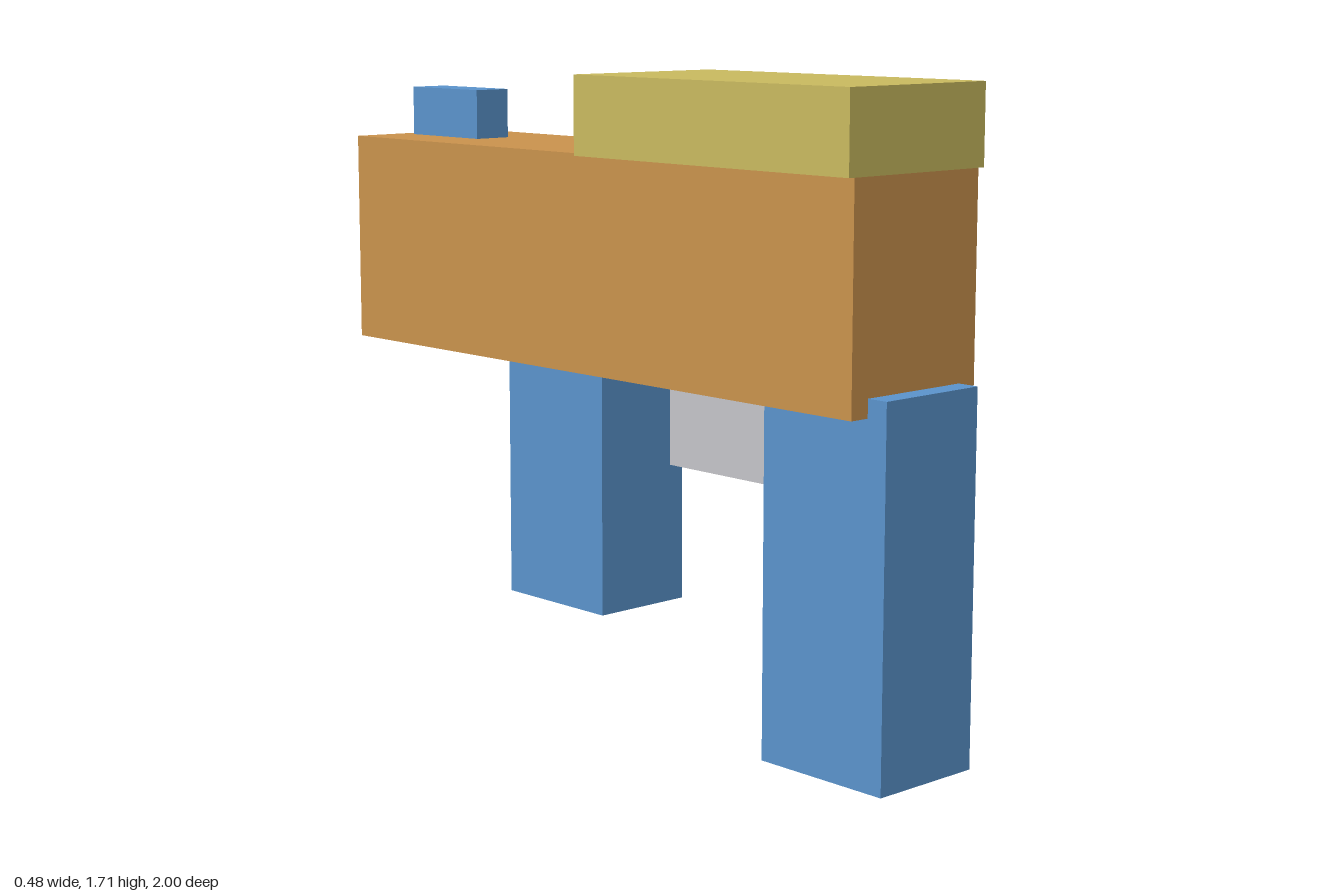
import * as THREE from 'three';

const material = (name, color) => {
  const m = new THREE.MeshStandardMaterial({ color });
  m.name = name;
  return m;
};

export function createModel() {
  const orange = material('orange', 0xc9924c);
  const olive = material('olive', 0xc8b95f);
  const blue = material('blue', 0x5a93cb);
  const grey = material('light grey', 0xc4c4c8);

  const model = new THREE.Group();
  model.name = 'blockModel';

  // A block centred on x = 0, given its width and its y and z ranges.
  const block = (name, mat, width, [y0, y1], [z0, z1]) => {
    const mesh = new THREE.Mesh(new THREE.BoxGeometry(width, y1 - y0, z1 - z0), mat);
    mesh.name = name;
    mesh.position.set(0, (y0 + y1) / 2, (z0 + z1) / 2);
    model.add(mesh);
  };

  // Long main body and the wider slab capping its front half
  block('body', orange, 0.444, [0.925, 1.505], [-1, 0.94]);
  block('topSlab', olive, 0.484, [1.5, 1.71], [-0.03, 0.941]);

  // Uprights below, slightly sunk into the body
  block('frontGrip', blue, 0.33, [0, 0.973], [0.595, 1]);
  block('rearGrip', blue, 0.295, [0.255, 0.935], [-0.415, -0.03]);

  // Small block behind the front grip, and the sight on top
  block('triggerBlock', grey, 0.115, [0.683, 0.935], [0.59, 0.14].reverse());
  block('sight', blue, 0.112, [1.495, 1.642], [-0.952, -0.66]);

  return model;
}
